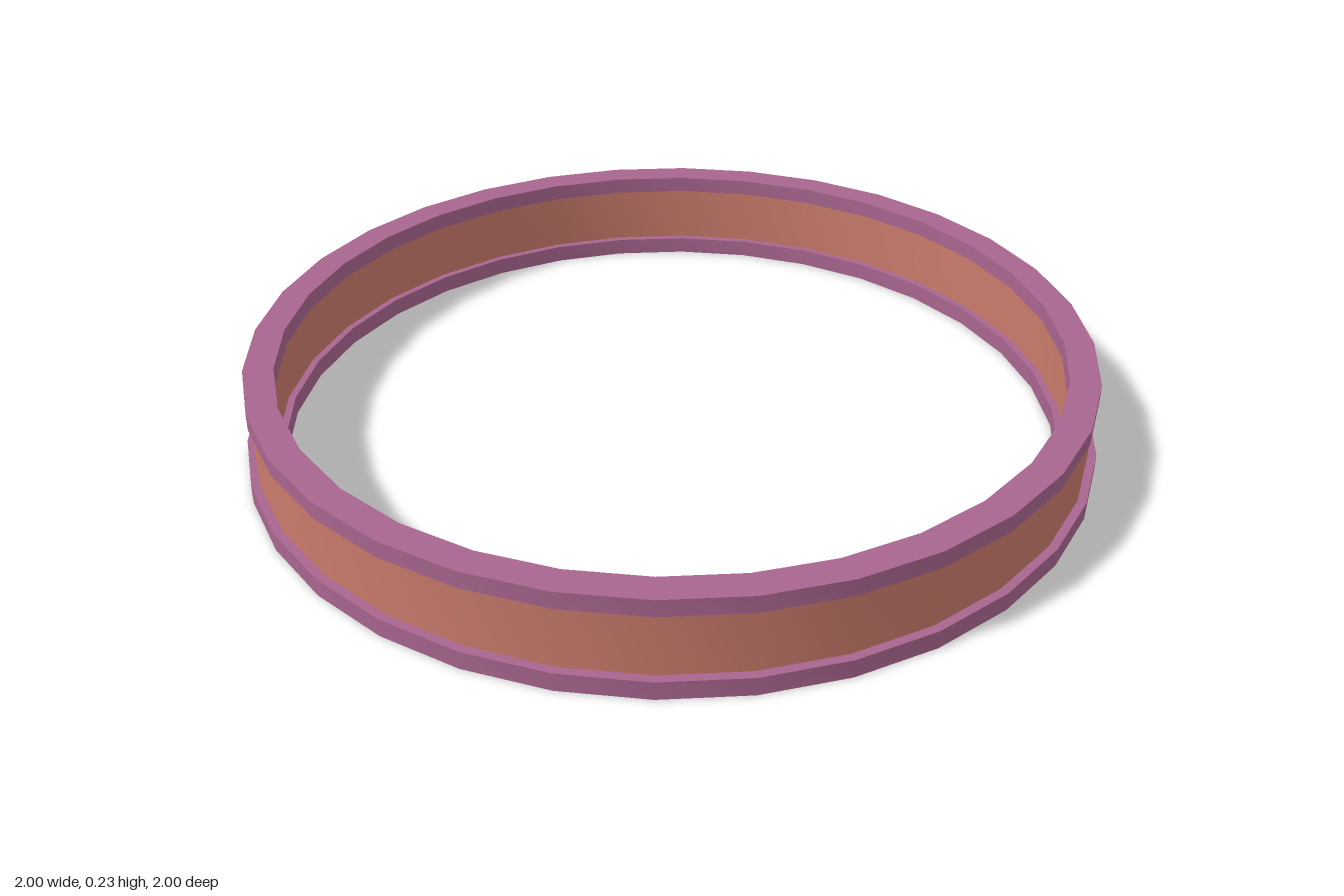
import * as THREE from 'three';
import { toCreasedNormals } from 'three/addons/utils/BufferGeometryUtils.js';

const SIDES = 32;

// Closed rectangular section swept around the y axis
function ring(name, material, inner, outer, bottom, top) {
  const profile = [
    [inner, bottom], [outer, bottom], [outer, top], [inner, top], [inner, bottom],
  ].map(([r, y]) => new THREE.Vector2(r, y));
  const geometry = toCreasedNormals(new THREE.LatheGeometry(profile, SIDES), Math.PI / 6);
  const mesh = new THREE.Mesh(geometry, material);
  mesh.name = name;
  return mesh;
}

export function createModel() {
  const plum = new THREE.MeshStandardMaterial({ color: 0xa9668f });
  plum.name = 'plum';
  const terracotta = new THREE.MeshStandardMaterial({ color: 0xc97b6b });
  terracotta.name = 'terracotta';

  const model = new THREE.Group();
  model.name = 'ring';
  model.add(
    // Wide base rim, slim top rim and the recessed band between them
    ring('bottomRim', plum, 0.913, 1.0, 0, 0.043),
    ring('band', terracotta, 0.93, 0.98, 0.03, 0.2),
    ring('topRim', plum, 0.918, 0.988, 0.19, 0.23),
  );
  return model;
}
